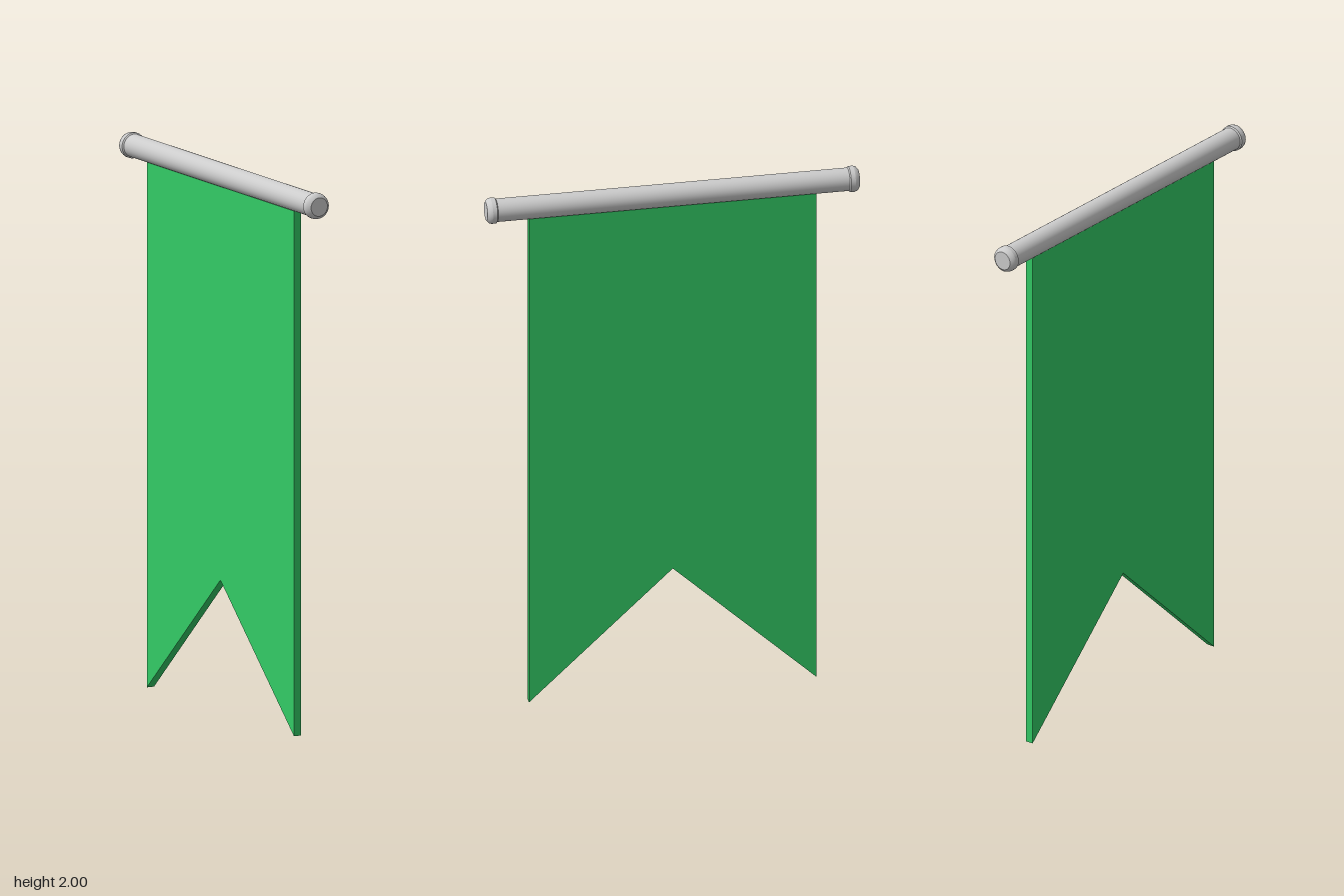
import * as THREE from 'three';

export function createModel() {
  const model = new THREE.Group();
  model.name = 'hangingBanner';
  const grey = new THREE.MeshStandardMaterial({ color: 0xcccccc });
  const green = new THREE.MeshStandardMaterial({ color: 0x33cc66 });
  const poleY = 1.953;

  const add = (name, geometry, material) => {
    const mesh = new THREE.Mesh(geometry, material);
    mesh.name = name;
    model.add(mesh);
    return mesh;
  };

  // horizontal pole along z
  const pole = add('pole', new THREE.CylinderGeometry(0.042, 0.042, 1.3, 32, 1, true), grey);
  pole.rotation.x = Math.PI / 2;
  pole.position.y = poleY;

  // bevelled cap on each end; doubled points keep the edges crisp
  const profile = [
    [0.042, 0], [0.047, 0.004], [0.047, 0.004], [0.047, 0.02], [0.047, 0.02],
    [0.044, 0.03], [0.034, 0.038], [0.034, 0.038], [0, 0.038],
  ].map(([r, y]) => new THREE.Vector2(r, y));
  for (const side of [1, -1]) {
    const cap = add(side > 0 ? 'frontCap' : 'backCap', new THREE.LatheGeometry(profile, 32), grey);
    cap.rotation.x = side * Math.PI / 2;
    cap.position.set(0, poleY, side * 0.642);
  }

  // cloth with a swallowtail notch, hanging from the pole
  const thickness = 0.03;
  const outline = new THREE.Shape([
    [-0.525, 0], [0, 0.48], [0.525, 0], [0.525, poleY], [-0.525, poleY],
  ].map(([x, y]) => new THREE.Vector2(x, y)));
  const clothGeometry = new THREE.ExtrudeGeometry(outline, { depth: thickness, bevelEnabled: false });
  clothGeometry.translate(0, 0, -thickness / 2).rotateY(Math.PI / 2);
  add('cloth', clothGeometry, green);

  return model;
}
